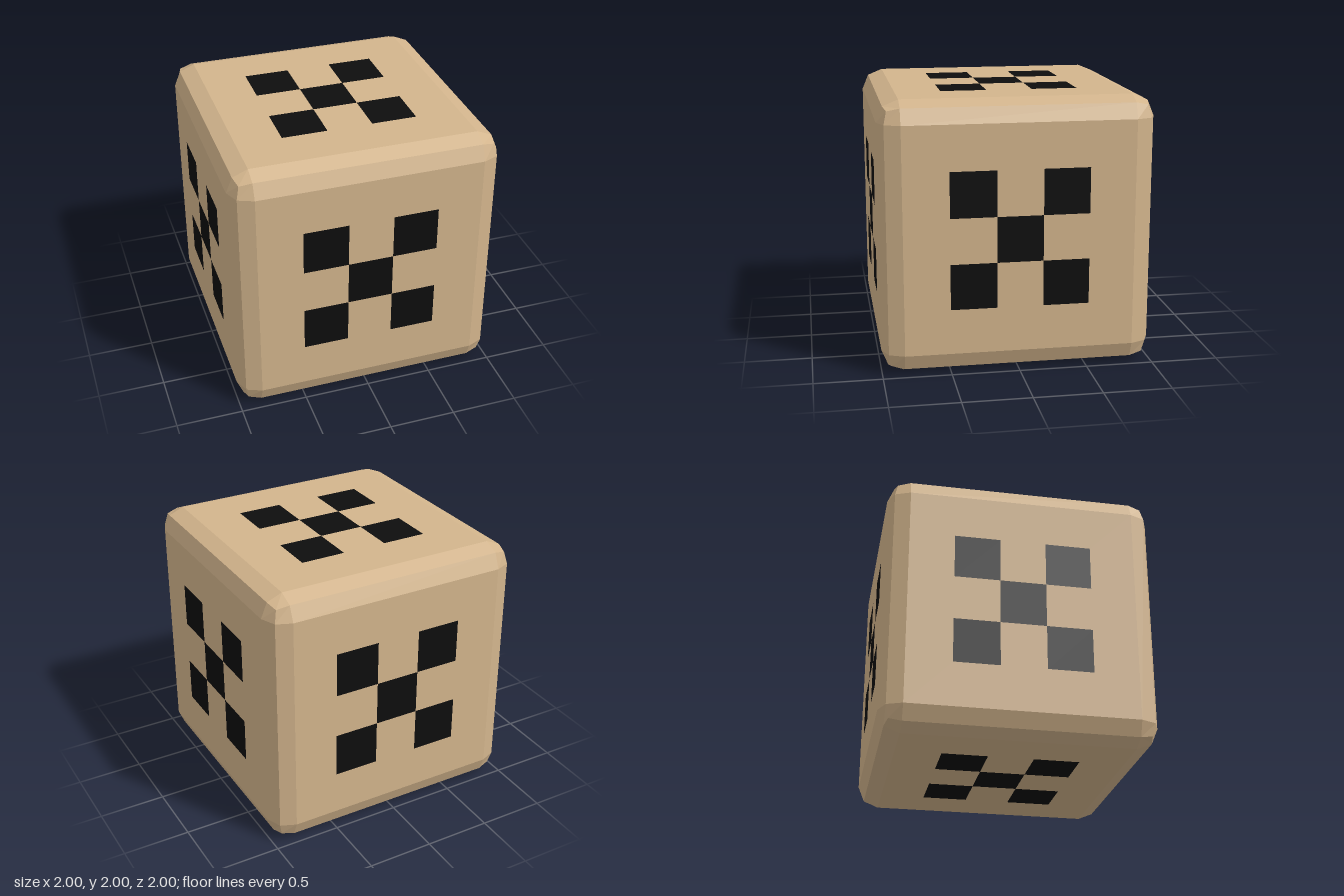
import * as THREE from 'three';

const HALF = 0.999;    // half size of the block
const BEVEL = 0.16;    // bevel radius
const CELL = 0.337;    // side of one inlaid square

// Cube with a two-step bevel: each grid vertex is pushed out from an inner core.
function beveledCube() {
  const geometry = new THREE.BoxGeometry(2, 2, 2, 3, 3, 3);
  const p = geometry.attributes.position;
  const v = new THREE.Vector3();
  for (let i = 0; i < p.count; i++) {
    v.fromBufferAttribute(p, i);
    const core = new THREE.Vector3(Math.sign(v.x), Math.sign(v.y), Math.sign(v.z));
    const out = new THREE.Vector3(...v.toArray().map(c => (Math.abs(c) > 0.9 ? Math.sign(c) : 0)));
    core.multiplyScalar(HALF - BEVEL).addScaledVector(out.normalize(), BEVEL);
    p.setXYZ(i, core.x, core.y, core.z);
  }
  const flat = geometry.toNonIndexed();
  flat.computeVertexNormals();
  return flat;
}

export function createModel() {
  const model = new THREE.Group();
  model.name = 'patternedCube';
  const tan = new THREE.MeshStandardMaterial({ color: 0xd2b48c, flatShading: true });
  const black = new THREE.MeshStandardMaterial({ color: 0x0d0d0d });

  const body = new THREE.Mesh(beveledCube(), tan);
  body.name = 'beveledBody';
  body.position.y = 1;
  model.add(body);

  // Five squares in a diagonal cross on each of the six faces
  const square = new THREE.PlaneGeometry(CELL, CELL);
  const cells = [[0, 0], [-1, -1], [1, -1], [-1, 1], [1, 1]];
  const q = Math.PI / 2;
  const faces = {
    front: [0, 0], left: [0, q], back: [0, 2 * q], right: [0, -q], top: [-q, 0], bottom: [q, 0],
  };
  for (const [name, [rx, ry]] of Object.entries(faces)) {
    const face = new THREE.Group();
    face.name = name + 'Squares';
    face.position.y = 1;
    face.rotation.set(rx, ry, 0);
    for (const [x, y] of cells) {
      const mesh = new THREE.Mesh(square, black);
      mesh.name = 'square';
      mesh.position.set(x * CELL, y * CELL, 1);
      face.add(mesh);
    }
    model.add(face);
  }
  return model;
}
